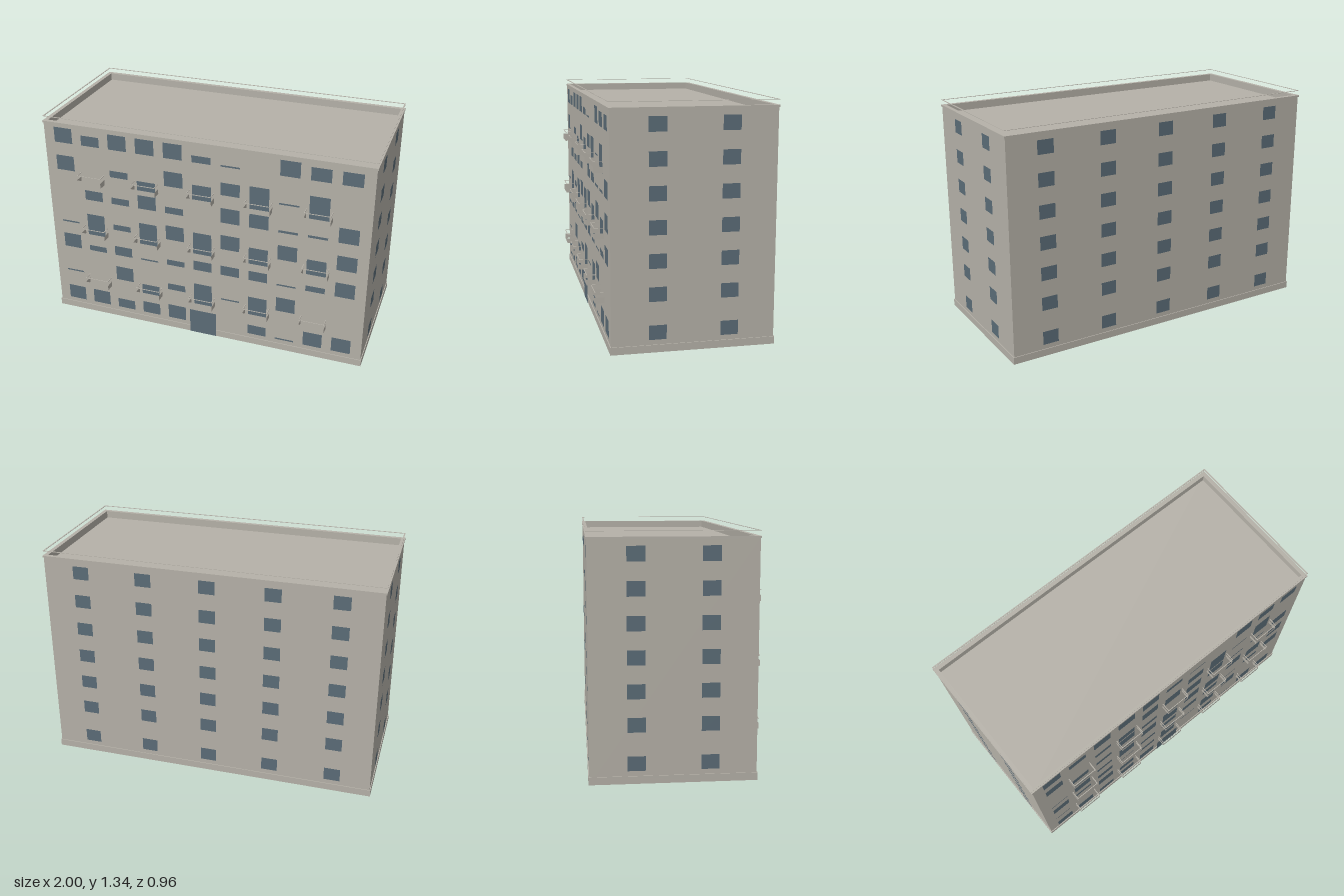
import * as THREE from 'three';

const wallMat = new THREE.MeshStandardMaterial({ color: 0xb5b1a8, side: THREE.DoubleSide });
wallMat.name = 'warm grey concrete';
const glassMat = new THREE.MeshStandardMaterial({ color: 0x5b6c77 });
glassMat.name = 'blue grey glass';

const HX = 0.995, HZ = 0.448, CZ = -0.025;   // half width, half depth, depth centre
const TOP = 1.3, DECK = 1.262;
const FLOORS = [0.07, 0.28, 0.46, 0.64, 0.82, 1.0, 1.18]; // window sills
const BAY = 0.1743;

// Glazing heights on the front, one row per floor, left to right
const FRONT = [
  [0.096, 0.096, 0.064, 0.08, 0.096, 0, 0, 0.064, 0.01, 0.096, 0.096],
  [0.01, 0, 0.096, 0, 0.043, 0.08, 0.01, 0.06, 0.096, 0, 0],
  [0.096, 0.037, 0.064, 0.01, 0.037, 0.064, 0.064, 0.064, 0.01, 0.037, 0.096],
  [0.01, 0.08, 0.037, 0.08, 0.096, 0.08, 0.096, 0.045, 0.096, 0.035, 0.096],
  [0, 0.064, 0.043, 0.096, 0.043, 0, 0.096, 0.096, 0.015, 0.015, 0.096],
  [0.096, 0, 0.043, 0.003, 0.096, 0.037, 0.08, 0.085, 0.01, 0.085, 0],
  [0.096, 0.064, 0.096, 0.096, 0.096, 0.043, 0.01, 0, 0.096, 0.08, 0.08],
];

function add(parent, geometry, material, name, x = 0, y = 0, z = 0, ry = 0) {
  const mesh = new THREE.Mesh(geometry, material);
  mesh.name = name;
  mesh.position.set(x, y, z);
  mesh.rotation.y = ry;
  parent.add(mesh);
  return mesh;
}

// Horizontal rectangular frame standing on y = 0
function frame(hx, hz, thick, height) {
  const rect = (P, a, b) => new P().moveTo(-a, -b).lineTo(a, -b).lineTo(a, b).lineTo(-a, b).closePath();
  const shape = rect(THREE.Shape, hx, hz);
  shape.holes.push(rect(THREE.Path, hx - thick, hz - thick));
  return new THREE.ExtrudeGeometry(shape, { depth: height, bevelEnabled: false }).rotateX(-Math.PI / 2);
}

function pane(parent, name, w, h, x, sill, z, ry = 0) {
  add(parent, new THREE.PlaneGeometry(w, h), glassMat, name, x, sill + h / 2, z, ry);
}

// Open balcony: three thin panels with a slim handrail above
function balcony(x, y) {
  const g = new THREE.Group();
  g.name = 'balcony';
  const w = 0.153, d = 0.055;
  add(g, new THREE.PlaneGeometry(w, 0.032), wallMat, 'balconyFront', 0, 0.016, d);
  add(g, new THREE.BoxGeometry(w, 0.003, 0.004), wallMat, 'handrailFront', 0, 0.06, d - 0.002);
  for (const s of [-1, 1]) {
    add(g, new THREE.PlaneGeometry(d, 0.032), wallMat, 'balconySide', s * w / 2, 0.016, d / 2, s * Math.PI / 2);
    add(g, new THREE.BoxGeometry(0.004, 0.003, d), wallMat, 'handrailSide', s * (w / 2 - 0.002), 0.06, d / 2);
  }
  g.position.set(x, y, CZ + HZ);
  return g;
}

export function createModel() {
  const model = new THREE.Group();
  model.name = 'apartmentBlock';

  // Hollow shell, open underneath
  const walls = new THREE.Group();
  walls.name = 'walls';
  model.add(walls);
  for (const s of [1, -1]) {
    add(walls, new THREE.PlaneGeometry(2 * HX, TOP), wallMat, s > 0 ? 'frontWall' : 'backWall',
      0, TOP / 2, CZ + s * HZ, s > 0 ? 0 : Math.PI);
    add(walls, new THREE.PlaneGeometry(2 * HZ, TOP), wallMat, s > 0 ? 'leftWall' : 'rightWall',
      s * HX, TOP / 2, CZ, s * Math.PI / 2);
  }
  add(model, frame(HX + 0.005, HZ + 0.005, 0.005, 0.042), wallMat, 'plinth', 0, 0, CZ);

  // Roof deck, parapet, coping and roof rail
  add(model, new THREE.PlaneGeometry(2 * HX, 2 * HZ).rotateX(-Math.PI / 2), wallMat, 'roofDeck', 0, DECK, CZ);
  add(model, frame(HX - 0.001, HZ - 0.001, 0.019, TOP - 0.002 - DECK), wallMat, 'parapet', 0, DECK, CZ);
  add(model, frame(HX + 0.005, HZ + 0.005, 0.025, 0.011), wallMat, 'coping', 0, 1.295, CZ);
  add(model, frame(HX + 0.003, HZ + 0.003, 0.008, 0.002), wallMat, 'roofRail', 0, 1.334, CZ);

  // Front glazing; balcony bays reach down to the balcony level
  const glazing = new THREE.Group();
  glazing.name = 'windows';
  model.add(glazing);
  const zFront = CZ + HZ + 0.002;
  FRONT.forEach((row, f) => row.forEach((h, c) => {
    if (h === 0 && !(f === 1 && c === 3)) return;
    const door = f % 2 === 1 && c % 2 === 1 || f % 2 === 1 && c === 5;
    const drop = door && f < 6 ? 0.067 : 0;
    pane(glazing, drop ? 'balconyDoor' : 'frontWindow', 0.116, h + drop, (c - 5) * BAY, FLOORS[f] - drop, zFront);
  }));
  pane(model, 'entranceDoor', 0.172, 0.165, 0, 0, CZ + HZ + 0.007);

  // Back and side windows
  for (const sill of FLOORS) {
    for (let i = -2; i <= 2; i++) {
      pane(glazing, 'backWindow', 0.097, 0.08, i * 0.383, sill, CZ - HZ - 0.002, Math.PI);
    }
    for (const s of [-1, 1]) for (const k of [-1, 1]) {
      pane(glazing, 'sideWindow', 0.097, 0.08, s * (HX + 0.002), sill, CZ + k * 0.197, s * Math.PI / 2);
    }
  }

  // Balconies on every second floor
  for (const y of [0.218, 0.578, 0.94]) {
    for (let i = -2; i <= 2; i++) model.add(balcony(i * 2 * BAY, y));
  }
  return model;
}
